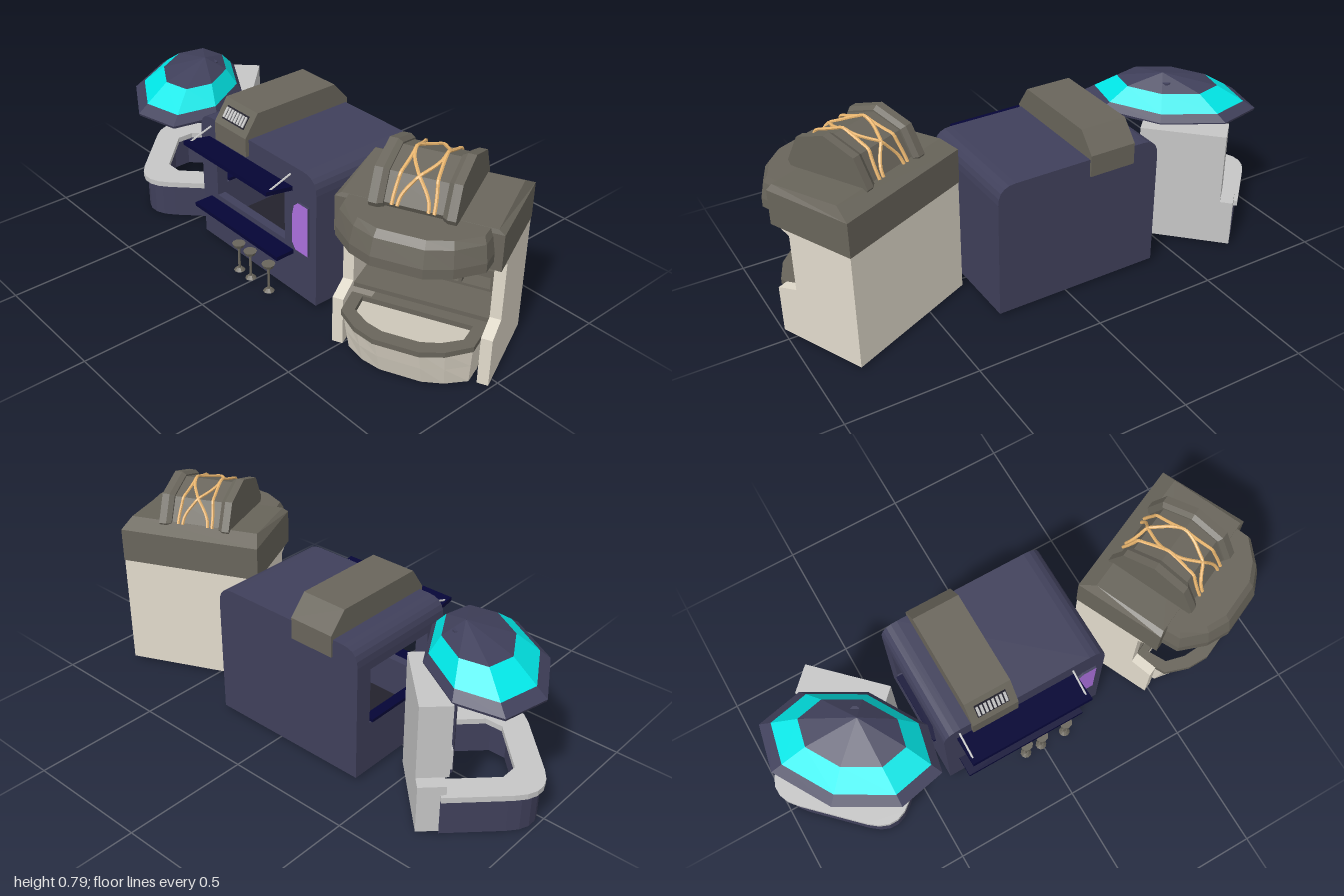
import * as THREE from 'three';

const mat = (name, color, side = THREE.FrontSide) => {
  const m = new THREE.MeshStandardMaterial({ color, side });
  m.name = name;
  m.flatShading = true;
  return m;
};
const M = {
  navy: mat('slate navy', 0x40405b, THREE.DoubleSide),
  deep: mat('deep navy', 0x050536),
  taupe: mat('taupe', 0x69655b, THREE.DoubleSide),
  beige: mat('beige', 0xe2dbcc, THREE.DoubleSide),
  cream: mat('cream', 0xe2cb98),
  cyan: mat('cyan', 0x00eaea, THREE.DoubleSide),
  grey: mat('grey', 0xc6c6c6),
  purple: mat('purple', 0xac70de),
  rope: mat('rope', 0xf4be74),
  dark: mat('dark interior', 0x23222c),
};

function add(parent, name, material, geo) {
  const m = new THREE.Mesh(geo, material);
  m.name = name;
  parent.add(m);
  return m;
}
// box from its bounds
function box(parent, name, material, x0, x1, y0, y1, z0, z1) {
  const g = new THREE.BoxGeometry(x1 - x0, y1 - y0, z1 - z0);
  g.translate((x0 + x1) / 2, (y0 + y1) / 2, (z0 + z1) / 2);
  return add(parent, name, material, g);
}
function cyl(parent, name, material, x, y0, y1, z, r0, r1 = r0, n = 10) {
  const g = new THREE.CylinderGeometry(r1, r0, y1 - y0, n);
  return add(parent, name, material, g.translate(x, (y0 + y1) / 2, z));
}
function rod(parent, name, material, a, b, r) {
  const path = new THREE.LineCurve3(new THREE.Vector3(...a), new THREE.Vector3(...b));
  return add(parent, name, material, new THREE.TubeGeometry(path, 1, r, 6));
}
// horizontal slab from an (x, z) shape, hanging down from its top
const slab = (shape, top, h) =>
  new THREE.ExtrudeGeometry(shape, { depth: h, bevelEnabled: false, curveSegments: 5 })
    .rotateX(Math.PI / 2).translate(0, top, 0);
const poly = pts => new THREE.Shape(pts.map(p => new THREE.Vector2(...p)));
// skin through rings of [x, y, z] points, listed upwards
function loft(rings, caps = true) {
  const v = [], n = rings[0].length;
  for (let k = 0; k + 1 < rings.length; k++)
    for (let i = 0; i < n; i++) {
      const j = (i + 1) % n;
      const a = rings[k][i], b = rings[k][j], c = rings[k + 1][j], d = rings[k + 1][i];
      v.push(...a, ...d, ...c, ...a, ...c, ...b);
    }
  const lo = rings[0], hi = rings[rings.length - 1];
  if (caps) for (let i = 1; i + 1 < n; i++)
    v.push(...lo[0], ...lo[i], ...lo[i + 1], ...hi[0], ...hi[i + 1], ...hi[i]);
  const g = new THREE.BufferGeometry();
  g.setAttribute('position', new THREE.Float32BufferAttribute(v, 3));
  g.computeVertexNormals();
  return g;
}

// Bar with parasol
function barStall() {
  const all = new THREE.Group();
  all.name = 'parasolBar';
  const g = new THREE.Group();
  g.name = 'bar';
  g.position.set(-0.583, 0, -0.2255);
  g.rotation.y = -Math.PI / 4;
  all.add(g);
  const bar = (inset, w) => {
    const l = -0.205 + inset, r = 0.33 - inset, f = 0.455 - inset, e = 0.15 + inset / 3, c = 0.13, k = 0.05;
    const s = new THREE.Shape();
    s.moveTo(l, 0.08); s.lineTo(l, f - c);
    s.quadraticCurveTo(l, f, l + c, f); s.lineTo(r - c, f);
    s.quadraticCurveTo(r, f, r, f - c); s.lineTo(r, e); s.lineTo(r - w, e);
    s.lineTo(r - w, f - w - k); s.lineTo(r - w - k, f - w);
    s.lineTo(l + w + k, f - w); s.lineTo(l + w, f - w - k); s.lineTo(l + w, 0.08);
    return s;
  };
  add(g, 'barCounterTop', M.grey, slab(bar(0, 0.1), 0.165, 0.022));
  add(g, 'barBase', M.navy, slab(bar(0.014, 0.06), 0.143, 0.143));
  // back cabinet with open shelves
  box(g, 'cabinetBase', M.grey, -0.19, 0.19, 0.01, 0.2, 0, 0.1);
  box(g, 'cabinetBack', M.grey, -0.14, 0.19, 0.2, 0.49, 0, 0.03);
  for (const x of [-0.14, 0.01, 0.165])
    box(g, 'cabinetSide', M.grey, x, x + 0.025, 0.2, 0.49, 0.03, 0.115);
  for (const y of [0.29, 0.465])
    box(g, 'cabinetShelf', M.grey, -0.14, 0.19, y, y + 0.025, 0.03, 0.115);
  box(g, 'cabinetDrawers', M.grey, -0.1, 0.17, 0.2, 0.28, 0.03, 0.13);
  // stretched eight-sided canopy in three colour bands
  const ring = (s, y) => Array.from({ length: 8 }, (_, i) => {
    const a = i * Math.PI / 4, u = 0.345 * s * Math.cos(a), w = 0.22 * s * Math.sin(a);
    const t = 1 - s;
    return [-0.686 + 0.07 * t + (u - w) * 0.707, y, 0.045 - 0.04 * t + (u + w) * 0.707];
  });
  add(all, 'parasolRim', M.navy, loft([ring(0.99, 0.485), ring(1, 0.495), ring(0.87, 0.525)], false));
  add(all, 'parasolBand', M.cyan, loft([ring(0.87, 0.525), ring(0.58, 0.592)], false));
  add(all, 'parasolCap', M.navy, loft([ring(0.58, 0.592), ring(0.005, 0.645)], false));
  cyl(all, 'parasolPole', M.navy, -0.61, 0.02, 0.62, -0.03, 0.018, 0.018, 8);
  return all;
}

// Box kiosk with serving windows
function kiosk() {
  const g = new THREE.Group();
  g.name = 'kiosk';
  g.position.set(0.004, 0, -0.002);
  const L = -0.39, R = 0.29, B = -0.28, F = 0.2, y0 = 0.015, sill = 0.222, head = 0.45, top = 0.553, t = 0.035, r = 0.07;
  const s = new THREE.Shape();
  s.moveTo(L, head); s.lineTo(R, head); s.lineTo(R, top - r);
  s.quadraticCurveTo(R, top, R - r, top); s.lineTo(L + r, top);
  s.quadraticCurveTo(L, top, L, top - r);
  add(g, 'kioskRoof', M.navy, new THREE.ExtrudeGeometry(s, { depth: F - B, bevelEnabled: false, curveSegments: 5 }).translate(0, 0, B));
  box(g, 'floor', M.dark, L + t, R - t, 0.06, 0.066, B + t, F - t);
  box(g, 'backWall', M.navy, L, R, y0, head, B, B + t);
  box(g, 'rightWall', M.navy, R - t, R, y0, head, B + t, F);
  box(g, 'frontLowerWall', M.navy, L, R - t, y0, sill, F - t, F);
  box(g, 'frontPost', M.navy, L, -0.297, sill, head, F - t, F);
  box(g, 'frontPanel', M.navy, 0.115, R - t, sill, head, F - t, F);
  box(g, 'sideLowerWall', M.navy, L, L + t, y0, sill, B + t, F - t);
  box(g, 'sideRearPost', M.navy, L, L + t, sill, head, B + t, -0.21);
  box(g, 'sideFrontPost', M.navy, L, L + t, sill, head, 0.11, F - t);
  box(g, 'sideSill', M.deep, L - 0.007, L + t, sill, sill + 0.012, -0.2, 0.1);
  // L-shaped inner worktop
  box(g, 'rearWorktop', M.cream, -0.245, 0.2, 0.018, 0.305, -0.17, -0.115);
  box(g, 'sideWorktop', M.cream, 0.12, 0.17, 0.018, 0.305, -0.115, 0.14);
  for (const x of [-0.2, -0.035]) box(g, 'worktopPanel', M.cream, x, x + 0.145, 0.18, 0.28, -0.115, -0.109);
  // awning flap, its stays and the serving ledge
  const flap = box(g, 'awning', M.deep, -0.337, 0.162, -0.008, 0.008, 0, 0.125);
  flap.position.set(0, 0.46, 0.198);
  flap.rotation.x = -0.18;
  for (const x of [-0.325, 0.15]) rod(g, 'awningStay', M.grey, [x, 0.515, F], [x, 0.48, 0.305], 0.004);
  box(g, 'servingLedge', M.deep, -0.34, 0.165, 0.184, 0.2, F, 0.28);
  // side hatch with clipped corners and dark edge
  const hatch = poly([[0.185, 0.215], [0.254, 0.215], [0.254, 0.42], [0.2, 0.42], [0.178, 0.4], [0.168, 0.36], [0.168, 0.24]]);
  add(g, 'hatch', [M.purple, M.navy], new THREE.ExtrudeGeometry(hatch, { depth: 0.009, bevelEnabled: false }).translate(0, 0, F));
  // roof duct, profile in depth and height
  const duct = poly([[-0.215, 0.485], [-0.215, 0.56], [-0.155, 0.647], [0.22, 0.647], [0.288, 0.57], [0.288, 0.485]]);
  add(g, 'roofDuct', M.taupe, new THREE.ExtrudeGeometry(duct, { depth: 0.188, bevelEnabled: false })
    .rotateY(Math.PI / 2).translate(-0.277, 0, 0));
  const vent = new THREE.Group();
  vent.name = 'vent';
  vent.position.set(-0.183, 0.6035, 0.185);
  vent.rotation.x = -0.604;
  g.add(vent);
  box(vent, 'ventPlate', M.dark, -0.064, 0.064, -0.027, 0.027, -0.002, 0.003);
  for (let i = 0; i < 8; i++) {
    const x = -0.056 + i * 0.016;
    box(vent, 'ventSlat', M.grey, x - 0.005, x + 0.005, -0.021, 0.021, 0.003, 0.007);
  }
  for (const x of [-0.08, -0.01, 0.1]) {
    cyl(g, 'stoolSeat', M.taupe, x, 0.12, 0.134, 0.268, 0.02, 0.026);
    cyl(g, 'stoolStem', M.taupe, x, 0.02, 0.12, 0.268, 0.005);
    cyl(g, 'stoolFoot', M.taupe, x, 0.012, 0.024, 0.268, 0.022, 0.01);
  }
  return g;
}

// Stall with curved counter, hood and roped drum
function drumStall() {
  const g = new THREE.Group();
  g.name = 'drumStall';
  g.position.set(0.658, 0, -0.011);
  g.rotation.y = 0.427;
  const W = 0.285, D = 0.184, B = -0.174;
  const side = poly([[-B, 0.012], [-0.193, 0.012], [-0.193, 0.2], [-0.104, 0.225], [-0.104, 0.45], [-0.18, 0.487], [-B, 0.487]]);
  for (const x of [-W, W - 0.04])
    add(g, 'sideWall', M.beige, new THREE.ExtrudeGeometry(side, { depth: 0.04, bevelEnabled: false })
      .rotateY(Math.PI / 2).translate(x, 0, 0));
  box(g, 'rearWall', M.beige, -W + 0.04, W - 0.04, 0.012, 0.487, B, B + 0.03);
  box(g, 'stallFloor', M.taupe, -W + 0.04, W - 0.04, 0.02, 0.03, B + 0.03, 0.12);
  // chamfered roof falling slightly to the front
  const rect = (w, b, f, yb, yf) => [[w, yb, b], [w, yf, f], [-w, yf, f], [-w, yb, b]];
  add(g, 'roof', M.taupe, loft([
    rect(W + 0.002, B - 0.002, D, 0.47, 0.47),
    rect(W + 0.002, B - 0.002, D, 0.605, 0.605),
    rect(W - 0.02, B + 0.06, D - 0.005, 0.64, 0.62)]));
  // bowed outline shared by hood and counter
  const half = [[0.255, 0.12], [0.248, 0.25], [0.168, 0.328], [0.085, 0.367]];
  const bow = (sx, sz = sx) => [...half, ...half.slice().reverse().map(([x, z]) => [-x, z])]
    .map(([x, z]) => [x * sx, 0.12 + (z - 0.12) * sz]);
  const ring = (y, sx, sz) => bow(sx, sz).map(([x, z]) => [x, y, z]);
  add(g, 'hood', M.taupe, loft([ring(0.5, 1.03, 1), ring(0.535, 1.03, 1), ring(0.595, 0.99, 0.93), ring(0.619, 0.95, 0.85)]));
  add(g, 'counterFront', M.beige, loft([ring(0.012, 0.88, 0.6), ring(0.09, 0.905, 0.71), ring(0.17, 0.93, 0.81)], false));
  const rim = poly(bow(0.95, 0.87));
  rim.holes.push(new THREE.Path(bow(0.78, 0.62).map(([x, z]) => new THREE.Vector2(x, z + 0.01))));
  add(g, 'counterRim', M.taupe, slab(rim, 0.189, 0.02));
  // inner worktop and shelf units
  box(g, 'innerWorktop', M.taupe, -0.245, 0.245, 0.198, 0.215, -0.145, 0.1);
  for (const [a, b] of [[0.222, 0.308], [0.405, 0.487]]) {
    box(g, 'shelfBack', M.taupe, -0.215, 0.215, a, b, -0.144, -0.1);
    for (const y of [a, b - 0.01]) box(g, 'shelfBoard', M.taupe, -0.215, 0.215, y, y + 0.01, -0.1, -0.035);
    for (const x of [-0.215, -0.1, 0.09, 0.203]) box(g, 'shelfDivider', M.taupe, x, x + 0.012, a + 0.01, b - 0.01, -0.1, -0.035);
  }
  // flattened eight-sided drum lying on the roof
  const drum = new THREE.Group();
  drum.name = 'drum';
  drum.position.set(-0.008, 0.638, 0.045);
  drum.scale.set(1.05, 0.9, 1.1);
  g.add(drum);
  const disc = (name, x0, x1, r0, r1 = r0) => add(drum, name, M.taupe,
    new THREE.CylinderGeometry(r1, r0, x1 - x0, 8).rotateZ(-Math.PI / 2).translate((x0 + x1) / 2, 0, 0));
  disc('drumCore', -0.12, 0.12, 0.145);
  disc('drumFlange', -0.14, -0.112, 0.164);
  disc('drumFlange', 0.112, 0.14, 0.164);
  disc('flangeCollar', -0.112, -0.095, 0.164, 0.152);
  disc('flangeCollar', 0.095, 0.112, 0.152, 0.164);
  // ropes over the drum, hugging its facets: two pinched, two crossing
  const pinched = a => 0.05 + 0.018 * Math.cos(a) ** 2, crossing = a => 0.05 * Math.cos(2 * a);
  for (const [sway, sign] of [[pinched, 1], [pinched, -1], [crossing, 1], [crossing, -1]]) {
    const pts = [];
    for (let i = 0; i <= 16; i++) {
      const a = i * Math.PI / 16, f = ((a + 1e-6) % (Math.PI / 4)) - Math.PI / 8;
      const r = 0.151 * Math.cos(Math.PI / 8) / Math.cos(f);
      pts.push(new THREE.Vector3(sign * sway(a), r * Math.sin(a), r * Math.cos(a)));
    }
    add(drum, 'rope', M.rope, new THREE.TubeGeometry(new THREE.CatmullRomCurve3(pts), 40, 0.006, 6));
  }
  return g;
}

export function createModel() {
  const model = new THREE.Group();
  model.name = 'marketStalls';
  model.add(barStall(), kiosk(), drumStall());
  return model;
}
